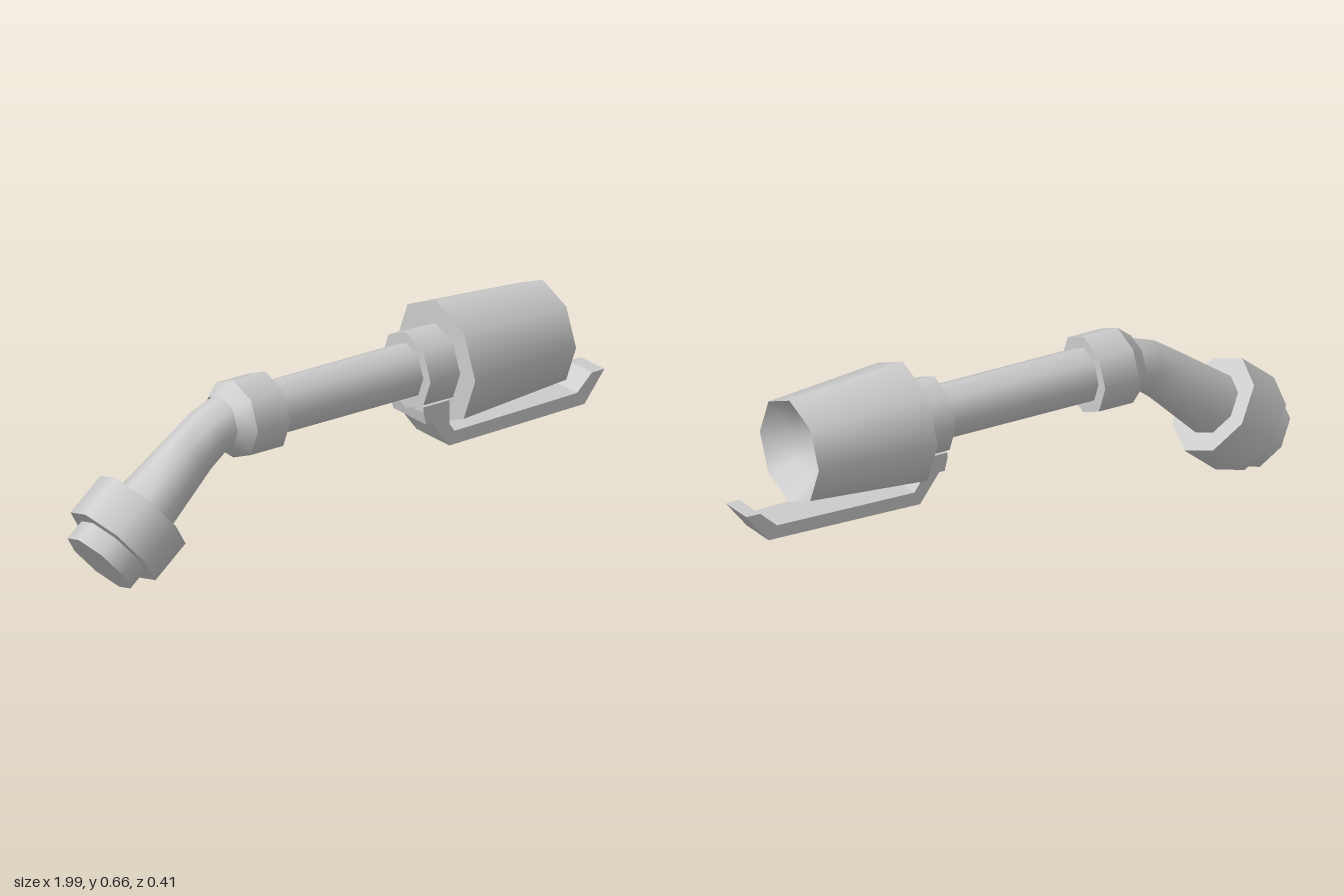
import * as THREE from 'three';

const SIDES = 8;
const AXIS_Y = 0.459;
const BEND = 0.68; // tilt of the angled tail, radians

export function createModel() {
  const group = new THREE.Group();
  const mat = new THREE.MeshStandardMaterial({ color: 0xcccccc });
  const openMat = new THREE.MeshStandardMaterial({ color: 0xcccccc, side: THREE.DoubleSide });

  const add = (name, geometry, material = mat) => {
    const mesh = new THREE.Mesh(geometry, material);
    mesh.name = name;
    group.add(mesh);
    return mesh;
  };

  // Octagonal section along x from x0 (radius r0) to x1 (radius r1)
  const section = (name, x0, x1, r0, r1 = r0, open = false) => {
    const g = new THREE.CylinderGeometry(r1, r0, x1 - x0, SIDES, 1, open);
    g.rotateZ(-Math.PI / 2);
    g.translate((x0 + x1) / 2, AXIS_Y, 0);
    return add(name, g, open ? openMat : mat);
  };

  // Straight grip, knob and collar
  section('grip', -0.3, 0.3, 0.09);
  section('knob', -0.4, -0.275, 0.129);
  section('knobShoulder', -0.45, -0.4, 0.09, 0.129, true);
  section('collar', 0.27, 0.385, 0.127);

  // Flared shroud: outer wall, closed back, shallow bowl in the mouth
  section('shroud', 0.385, 0.8, 0.205, 0.173, true);
  const back = new THREE.CircleGeometry(0.205, SIDES);
  back.rotateY(-Math.PI / 2);
  back.translate(0.385, AXIS_Y, 0);
  add('shroudBack', back);
  const bowlProfile = [[0, -0.13], [0.06, -0.12], [0.12, -0.08], [0.173, 0]]
    .map(([r, h]) => new THREE.Vector2(r, h));
  const bowl = new THREE.LatheGeometry(bowlProfile, SIDES);
  bowl.rotateZ(-Math.PI / 2);
  bowl.translate(0.8, AXIS_Y, 0);
  add('shroudBowl', bowl, openMat);

  // Bent neck lofted through tilted octagons: x, y, radius, tilt
  const stations = [
    [-0.77, 0.225, 0.105, BEND],
    [-0.57, 0.388, 0.084, BEND],
    [-0.5, 0.438, 0.082, 0.45],
    [-0.43, AXIS_Y, 0.09, 0],
  ];
  const pos = [], idx = [];
  stations.forEach(([x, y, r, tilt], s) => {
    for (let i = 0; i < SIDES; i++) {
      const a = (i / SIDES) * Math.PI * 2;
      const up = Math.cos(a) * r;
      pos.push(x - Math.sin(tilt) * up, y + Math.cos(tilt) * up, Math.sin(a) * r);
      if (s === 0) continue;
      const p = (s - 1) * SIDES, j = (i + 1) % SIDES, q = s * SIDES;
      idx.push(p + i, p + j, q + i, p + j, q + j, q + i);
    }
  });
  const neck = new THREE.BufferGeometry();
  neck.setAttribute('position', new THREE.Float32BufferAttribute(pos, 3));
  neck.setIndex(idx);
  neck.computeVertexNormals();
  add('neck', neck, openMat);

  // Tail flange and end cap, along the tilted axis
  const tail = (name, from, to, r) => {
    const g = new THREE.CylinderGeometry(r, r, to - from, SIDES);
    g.rotateZ(-Math.PI / 2);
    g.translate((from + to) / 2, 0, 0);
    g.rotateZ(BEND);
    g.translate(-0.75, 0.241, 0);
    add(name, g);
  };
  tail('tailFlange', -0.15, 0, 0.169);
  tail('tailCap', -0.22, -0.14, 0.125);

  // Lever under the shroud, narrowing toward its upturned tip
  const outline = [
    [0.275, 0.36], [0.275, 0.34], [0.285, 0.3], [0.305, 0.3], [0.375, 0.208], [0.915, 0.208],
    [0.995, 0.305], [0.945, 0.305], [0.885, 0.252], [0.395, 0.252], [0.375, 0.28], [0.375, 0.36],
  ].map(([x, y]) => new THREE.Vector2(x, y));
  const lever = new THREE.ExtrudeGeometry(new THREE.Shape(outline), { depth: 2, bevelEnabled: false });
  lever.translate(0, 0, -1);
  const p = lever.attributes.position;
  for (let i = 0; i < p.count; i++) {
    const t = THREE.MathUtils.clamp((p.getX(i) - 0.375) / 0.62, 0, 1);
    p.setZ(i, p.getZ(i) * THREE.MathUtils.lerp(0.085, 0.06, t));
  }
  lever.computeVertexNormals();
  add('lever', lever);

  return group;
}
